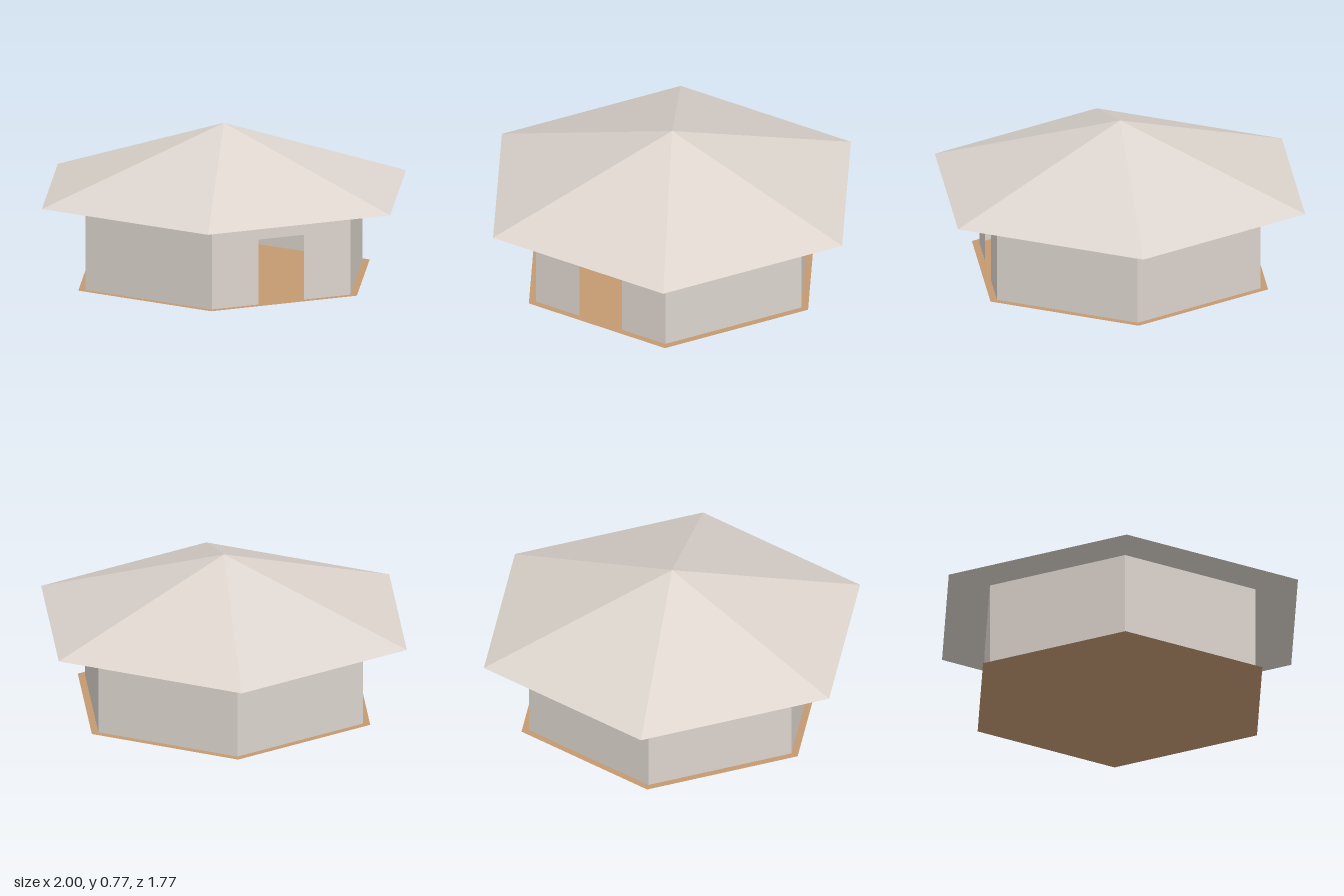
import * as THREE from 'three';

const WALL_R = 0.76, WALL_H = 0.435, ROOF_R = 1.0, ROOF_H = 0.34, FLOOR_R = 0.8;
const DOOR_W = 0.25, DOOR_H = 0.33;

function makeMaterial(name, color) {
  const m = new THREE.MeshStandardMaterial({ color, flatShading: true, side: THREE.DoubleSide });
  m.name = name;
  return m;
}

// Upright wall panel, optionally notched by a doorway
function panelGeometry(hasDoor) {
  const w = WALL_R / 2, d = DOOR_W / 2; // a hexagon's side equals its radius
  const pts = [[-w, 0]];
  if (hasDoor) pts.push([-d, 0], [-d, DOOR_H], [d, DOOR_H], [d, 0]);
  pts.push([w, 0], [w, WALL_H], [-w, WALL_H]);
  return new THREE.ShapeGeometry(new THREE.Shape(pts.map(([x, y]) => new THREE.Vector2(x, y))));
}

export function createModel() {
  const group = new THREE.Group();
  group.name = 'hexagonalHut';
  const plaster = makeMaterial('palePlaster', 0xdcd4cd);
  const earth = makeMaterial('brownFloor', 0xc49a72);

  // Whole hut is turned slightly about its axis
  const hut = new THREE.Group();
  hut.name = 'hut';
  hut.rotation.y = THREE.MathUtils.degToRad(2);
  group.add(hut);

  // Thin floor sheet, slightly wider than the walls
  const floor = new THREE.Mesh(new THREE.CircleGeometry(FLOOR_R, 6).rotateX(-Math.PI / 2), earth);
  floor.name = 'floor';
  hut.add(floor);

  // Six thin walls, the front one with the doorway
  const apothem = WALL_R * Math.cos(Math.PI / 6);
  for (let i = 0; i < 6; i++) {
    const geometry = panelGeometry(i === 0).translate(0, 0, apothem).rotateY(i * Math.PI / 3);
    const wall = new THREE.Mesh(geometry, plaster);
    wall.name = i === 0 ? 'doorwayWall' : 'wall' + i;
    hut.add(wall);
  }

  // Open six-sided roof with overhanging eaves
  const roof = new THREE.Mesh(new THREE.ConeGeometry(ROOF_R, ROOF_H, 6, 1, true, Math.PI / 6), plaster);
  roof.name = 'roof';
  roof.position.y = WALL_H + ROOF_H / 2;
  hut.add(roof);

  return group;
}
